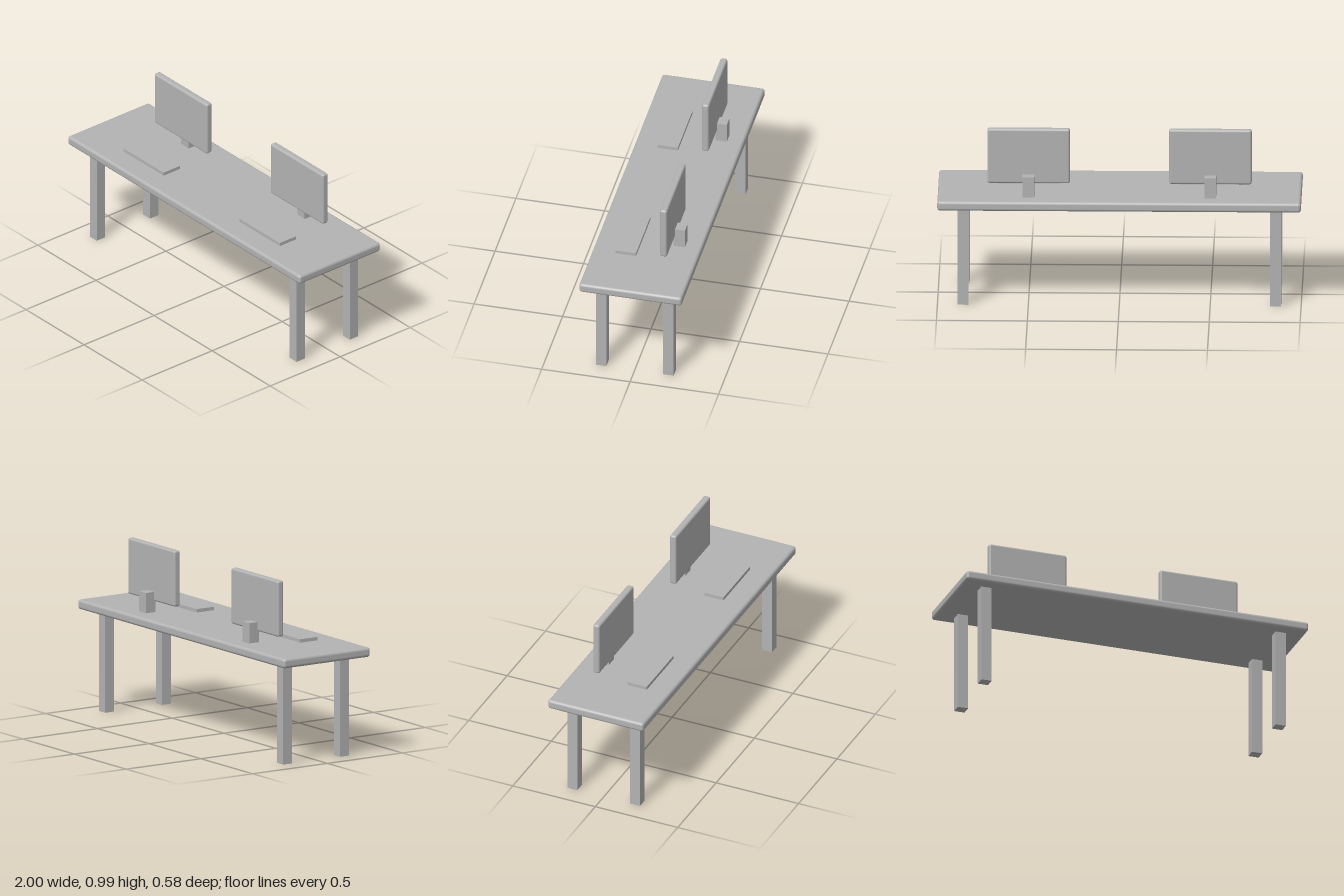
import * as THREE from 'three';
import { RoundedBoxGeometry } from 'three/addons/geometries/RoundedBoxGeometry.js';

export function createModel() {
  const model = new THREE.Group();
  model.name = 'twinDesk';
  const grey = new THREE.MeshStandardMaterial({ color: 0xb3b3b3 });
  grey.name = 'plain grey';

  // Block between two corners; a radius gives it rounded edges
  function block(name, [x0, y0, z0], [x1, y1, z1], radius = 0) {
    const size = [x1 - x0, y1 - y0, z1 - z0];
    const geometry = radius
      ? new RoundedBoxGeometry(...size, 3, radius)
      : new THREE.BoxGeometry(...size);
    const mesh = new THREE.Mesh(geometry, grey);
    mesh.name = name;
    mesh.position.set((x0 + x1) / 2, (y0 + y1) / 2, (z0 + z1) / 2);
    return mesh;
  }

  // Desk top
  model.add(block('deskTop', [-1, 0.563, -0.29], [1, 0.617, 0.29], 0.016));

  for (const [side, s] of [['left', 1], ['right', -1]]) {
    // Legs
    for (const [end, z] of [['Front', 0.19], ['Back', -0.19]]) {
      const x = s * 0.86;
      model.add(block(`${side}${end}Leg`, [x - 0.03, 0, z - 0.03], [x + 0.03, 0.57, z + 0.03]));
    }

    // Workstation: screen, stand behind it and keyboard
    const station = new THREE.Group();
    station.name = `${side}Workstation`;
    station.position.x = s * 0.5;
    station.add(
      block('screen', [-0.227, 0.678, -0.143], [0.227, 0.992, -0.103], 0.012),
      block('screenStand', [-0.032, 0.61, -0.199], [0.032, 0.731, -0.135]),
      block('keyboard', [-0.173, 0.61, 0.044], [0.173, 0.636, 0.16])
    );
    model.add(station);
  }
  return model;
}
